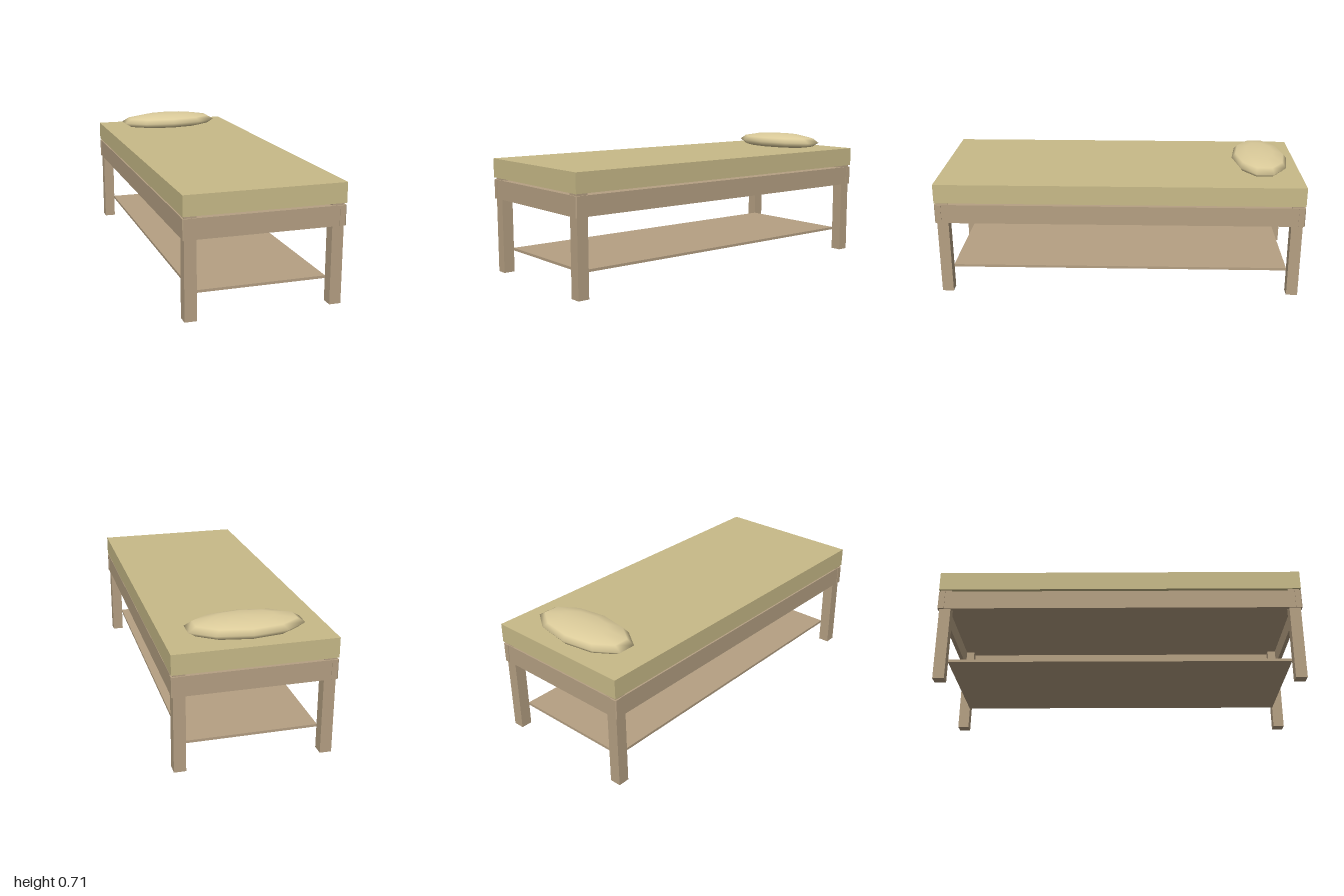
import * as THREE from 'three';

export function createModel() {
  const model = new THREE.Group();
  model.name = 'massageTable';

  const mat = (name, color) => {
    const m = new THREE.MeshStandardMaterial({ color });
    m.name = name;
    return m;
  };
  const wood = mat('wood', 0xb5a083);
  const cushion = mat('cushion', 0xc8ba88);
  const linen = mat('linen', 0xdccc9b);

  const add = (name, geometry, material, x, y, z) => {
    const mesh = new THREE.Mesh(geometry, material);
    mesh.name = name;
    mesh.position.set(x, y, z);
    model.add(mesh);
    return mesh;
  };
  // Box given by its centre in x and z and its bottom and top heights
  const box = (name, material, w, d, y0, y1, x = 0, z = 0) =>
    add(name, new THREE.BoxGeometry(w, y1 - y0, d), material, x, (y0 + y1) / 2, z);

  // Padded top
  box('mattress', cushion, 0.84, 2, 0.528, 0.633);

  // Panel inside the frame and the lower shelf
  box('framePanel', wood, 0.80, 1.96, 0.50, 0.514);
  box('shelf', wood, 0.70, 1.86, 0.12, 0.134);

  // Rails on all four sides
  for (const s of [-1, 1]) {
    const side = s > 0 ? 'left' : 'right';
    const end = s > 0 ? 'front' : 'back';
    box(side + 'Rail', wood, 0.022, 1.93, 0.412, 0.517, s * 0.406, 0);
    box(end + 'Rail', wood, 0.77, 0.022, 0.412, 0.517, 0, s * 0.986);
  }

  // Corner cap: an L-shaped bracket with a small chamfer on the outer corner
  const capShape = new THREE.Shape([
    [0, 0], [0.030, 0], [0.035, 0.005], [0.035, 0.035],
    [0.013, 0.035], [0.013, 0.022], [0, 0.022],
  ].map(([x, y]) => new THREE.Vector2(x, y)));
  const capGeometry = new THREE.ExtrudeGeometry(capShape, { depth: 0.105, bevelEnabled: false });
  capGeometry.rotateX(-Math.PI / 2);

  // Legs and caps; the cap turns to suit each corner
  for (const sx of [-1, 1]) {
    for (const sz of [-1, 1]) {
      box('leg', wood, 0.062, 0.062, 0, 0.53, sx * 0.38, sz * 0.96);
      const cap = add('cornerCap', capGeometry, wood, sx * 0.385, 0.412, sz);
      if (sx > 0 && sz < 0) {
        cap.rotation.y = Math.PI / 2;
        cap.position.set(0.42, 0.412, -0.965);
      } else if (sx < 0 && sz < 0) {
        cap.rotation.y = Math.PI;
      } else if (sx < 0) {
        cap.rotation.y = -Math.PI / 2;
        cap.position.set(-0.42, 0.412, 0.965);
      }
    }
  }

  // Pillow: a flattened coarse ball sunk into the mattress
  const pillow = add('pillow', new THREE.SphereGeometry(1, 10, 6, Math.PI / 2), linen, 0, 0.665, -0.79);
  pillow.scale.set(0.314, 0.05, 0.156);
  pillow.rotation.z = 0.005;

  return model;
}
